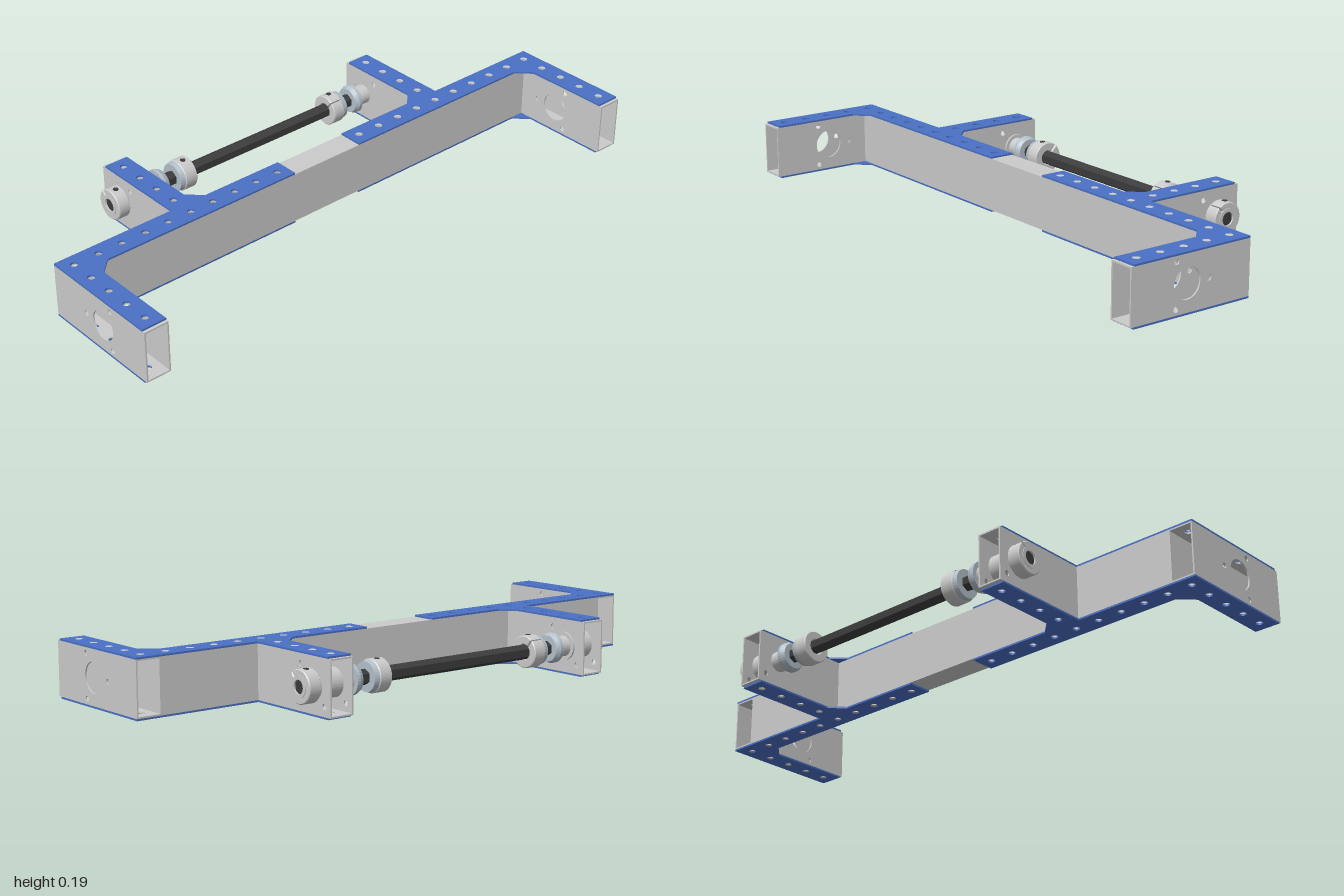
import * as THREE from 'three';

const grey = new THREE.MeshStandardMaterial({ color: 0xcccccc });
const blue = new THREE.MeshStandardMaterial({ color: 0x4a70c4 });
const steel = new THREE.MeshStandardMaterial({ color: 0xb4c0ca });
const black = new THREE.MeshStandardMaterial({ color: 0x3c3c3c });

const W = 0.0854, H = 0.176, WALL = 0.005; // tube section
const PLATE = 0.006, PITCH = 0.0868, HOLE = 0.012;
const MID_Y = 0.094, ARM_Z = 0.957, MID_Z = 0.523;
const SHAFT_X = -0.314;

function add(parent, name, geometry, material) {
  const mesh = new THREE.Mesh(geometry, material);
  mesh.name = name;
  parent.add(mesh);
  return mesh;
}

// Flat panel from corner points with round holes [x, y, radius]
function panel(points, holes, depth) {
  const shape = new THREE.Shape(points.map(([x, y]) => new THREE.Vector2(x, y)));
  for (const [x, y, r] of holes) {
    const hole = new THREE.Path();
    hole.absarc(x, y, r, 0, Math.PI * 2, true);
    shape.holes.push(hole);
  }
  return new THREE.ExtrudeGeometry(shape, { depth, bevelEnabled: false, curveSegments: 16 });
}

const rect = (x0, x1, h) => [[x0, -h / 2], [x1, -h / 2], [x1, h / 2], [x0, h / 2]];

// Open rectangular tube along x, drilled through its sides and its top and bottom
function tube(name, x0, x1, sideHoles, topHoles) {
  const group = new THREE.Group();
  group.name = name;
  for (const s of [-1, 1]) {
    const side = panel(rect(x0, x1, H), sideHoles, WALL);
    side.translate(0, 0, s > 0 ? W / 2 - WALL : -W / 2);
    add(group, 'sideWall', side, grey);
    const cap = panel(rect(x0, x1, W - 2 * WALL), topHoles.map((x) => [x, 0, HOLE]), WALL);
    cap.rotateX(Math.PI / 2);
    cap.translate(0, s > 0 ? H / 2 : -H / 2 + WALL, 0);
    add(group, 'flangeWall', cap, grey);
  }
  return group;
}

// Solid or hollow turned part along z; profile is [radius, z]
function turned(profile) {
  const geo = new THREE.LatheGeometry(profile.map(([r, z]) => new THREE.Vector2(r, z)), 32);
  geo.rotateX(Math.PI / 2);
  const flat = geo.toNonIndexed();
  return flat;
}

const ring = (inner, outer, z0, z1) => {
  const shape = new THREE.Shape();
  shape.absarc(0, 0, outer, 0, Math.PI * 2, false);
  const bore = new THREE.Path();
  bore.absarc(0, 0, inner, 0, Math.PI * 2, true);
  shape.holes.push(bore);
  const geo = new THREE.ExtrudeGeometry(shape, { depth: z1 - z0, bevelEnabled: false, curveSegments: 20 });
  return geo.translate(0, 0, z0);
};

// Split clamp collar with a slit at the upper left
function collar(z0, z1) {
  const gap = 0.09, mid = Math.PI * 0.72;
  const shape = new THREE.Shape();
  shape.absarc(0, 0, 0.05, mid + gap, mid - gap + Math.PI * 2, false);
  shape.absarc(0, 0, 0.027, mid - gap * 1.8 + Math.PI * 2, mid + gap * 1.8, true);
  shape.closePath();
  const bevel = 0.003;
  const geo = new THREE.ExtrudeGeometry(shape, {
    depth: z1 - z0 - 2 * bevel, bevelThickness: bevel, bevelSize: bevel,
    bevelSegments: 1, curveSegments: 40,
  });
  return geo.translate(0, 0, z0 + bevel);
}

// T and corner gusset plate for one end (s = 1 front, -1 back)
function gussetPlate(s) {
  const b = W / 2, c = 0.047;
  const mi = MID_Z - b, mo = MID_Z + b, ai = ARM_Z - b;
  const outline = [
    [-b, 0.137], [b, 0.137], [b, ai - c], [b + c, ai], [0.39, ai], [0.39, 1], [-b, 1],
    [-b, mo], [-0.388, mo], [-0.388, mi], [-b - c, mi], [-b, mi - c],
  ];
  const holes = [];
  for (let i = 0; i < 10; i++) holes.push([0, ARM_Z - i * PITCH, HOLE]);
  for (let i = 1; i <= 4; i++) holes.push([i * PITCH, ARM_Z, HOLE], [-i * PITCH, MID_Z, HOLE]);
  const flip = (list) => list.map(([x, z, r]) => [x, z * s, r]);
  return panel(flip(outline), flip(holes), PLATE).rotateX(Math.PI / 2);
}

export function createModel() {
  const model = new THREE.Group();
  model.name = 'driveFrame';
  const steps = [1, 2, 3, 4].map((i) => i * PITCH);

  // Long beam
  const beamHoles = [];
  for (let i = 1; i < 10; i++) beamHoles.push(ARM_Z - i * PITCH, -ARM_Z + i * PITCH);
  const beam = tube('mainBeam', -ARM_Z + W / 2, ARM_Z - W / 2, [], beamHoles);
  beam.rotation.y = Math.PI / 2;
  beam.position.y = MID_Y;
  model.add(beam);

  // Bolt patterns around the bearing bores
  const armHoles = [[0.195, 0, 0.049]];
  for (const a of [Math.PI / 3, Math.PI, -Math.PI / 3]) {
    armHoles.push([0.195 + 0.081 * Math.cos(a), 0.081 * Math.sin(a), 0.009]);
  }
  const midHoles = [[SHAFT_X, 0, 0.046], [SHAFT_X + 0.056, 0.057, 0.009], [SHAFT_X - 0.056, -0.057, 0.009]];

  for (const s of [1, -1]) {
    const end = s > 0 ? 'front' : 'back';

    // Arms
    const outer = tube(end + 'EndArm', -W / 2, 0.4, armHoles, [0, ...steps]);
    outer.position.set(0, MID_Y, s * ARM_Z);
    const inner = tube(end + 'ShaftArm', -0.4, -W / 2, midHoles, steps.map((x) => -x));
    inner.position.set(0, MID_Y, s * MID_Z);
    model.add(outer, inner);

    // Plates above and below
    for (const y of [PLATE, MID_Y * 2]) {
      add(model, end + 'GussetPlate', gussetPlate(s), blue).position.y = y;
    }

    // Bearing, spacer and collars on the shaft
    const fittings = new THREE.Group();
    fittings.name = end + 'ShaftFittings';
    fittings.position.set(SHAFT_X, MID_Y, -0.004);
    if (s < 0) fittings.rotation.y = Math.PI;
    add(fittings, 'bearing', ring(0.022, 0.046, 0.478, 0.568), grey);
    add(fittings, 'spacer', ring(0.022, 0.034, 0.43, 0.48), grey);
    const flange = turned([[0.022, 0.403], [0.043, 0.403], [0.05, 0.418], [0.05, 0.43], [0.022, 0.43]]);
    flange.computeVertexNormals();
    add(fittings, 'bearingFlange', flange, steel).material.side = THREE.DoubleSide;
    const washer = turned([[0.022, 0.345], [0.05, 0.345], [0.047, 0.362], [0.022, 0.362]]);
    washer.computeVertexNormals();
    add(fittings, 'washer', washer, steel);
    add(fittings, 'innerCollar', collar(0.298, 0.345), grey);
    add(fittings, 'outerCollar', collar(0.568, 0.612), grey);
    add(fittings, 'hubRing', ring(0.022, 0.034, 0.568, 0.614), grey);
    // Clamp screws
    for (const z of [0.322, 0.59]) {
      const screw = add(fittings, 'clampScrew', new THREE.CylinderGeometry(0.009, 0.009, 0.012, 12), black);
      screw.position.set(0.006, 0.048, z);
    }
    model.add(fittings);
  }

  // Hexagonal shaft
  const shaft = new THREE.CylinderGeometry(0.0247, 0.0247, 1.216, 6).toNonIndexed();
  shaft.computeVertexNormals();
  shaft.rotateX(Math.PI / 2);
  add(model, 'hexShaft', shaft, black).position.set(SHAFT_X, MID_Y, -0.004);

  return model;
}
